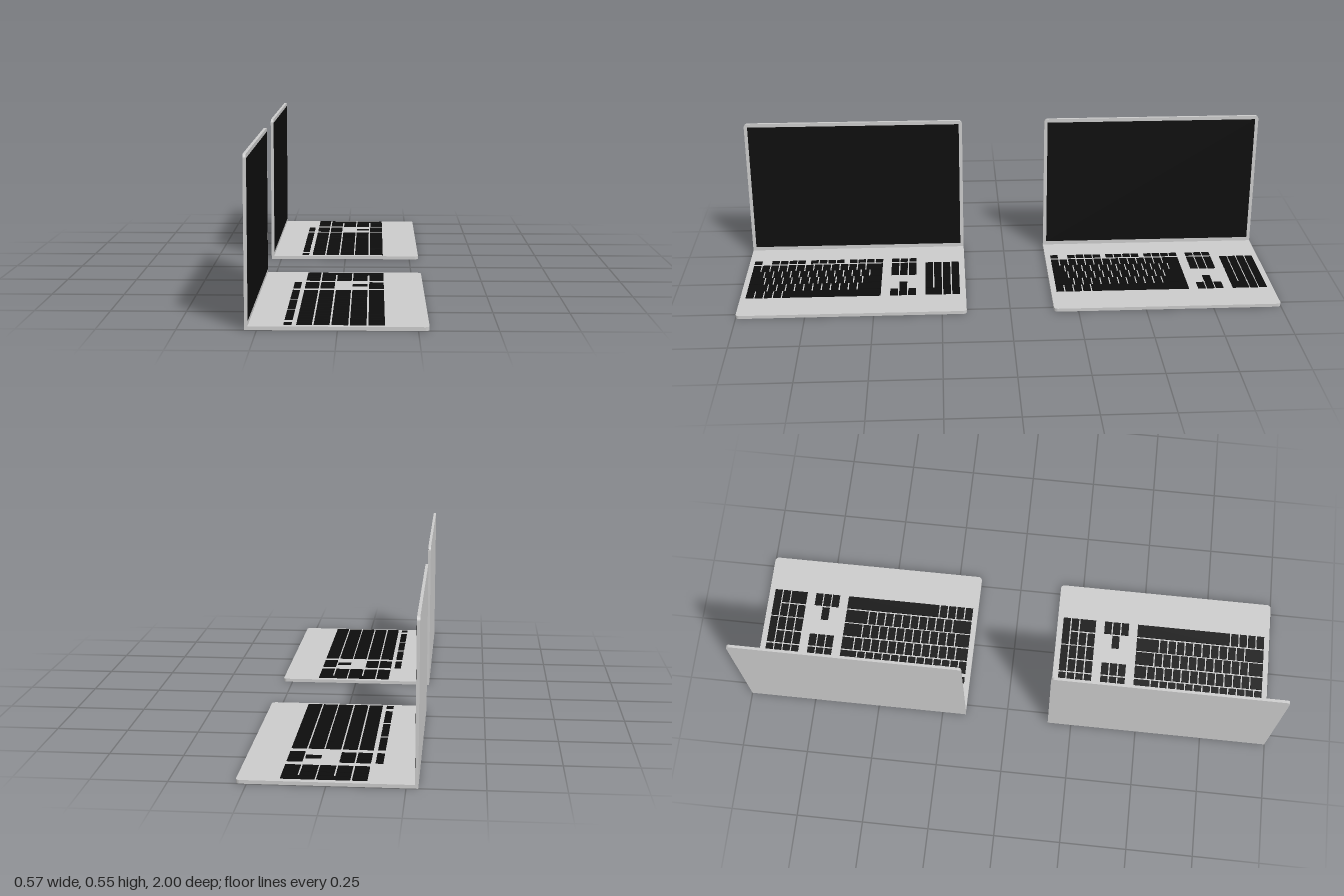
import * as THREE from 'three';
import { mergeGeometries } from 'three/addons/utils/BufferGeometryUtils.js';

const WIDTH = 0.84, THICK = 0.012, LID = 0.01, HINGE = -0.278, UNIT = 0.0337;
const grey = new THREE.MeshStandardMaterial({ color: 0xcccccc });
const black = new THREE.MeshStandardMaterial({ color: 0x0d0d0d });

// Flat panel along +x from the hinge edge, with its two far corners rounded
function panel(length, thick) {
  const r = 0.014, w = WIDTH / 2;
  const s = new THREE.Shape();
  s.moveTo(0, -w);
  s.lineTo(length - r, -w);
  s.absarc(length - r, -w + r, r, -Math.PI / 2, 0);
  s.lineTo(length, w - r);
  s.absarc(length - r, w - r, r, 0, Math.PI / 2);
  s.lineTo(0, w);
  return new THREE.ExtrudeGeometry(s, { depth: thick, bevelEnabled: false, curveSegments: 5 })
    .rotateX(-Math.PI / 2);
}

// Near and far x of each key row, from the function keys to the space bar
const ROWS = [[-0.168, -0.143], [-0.128, -0.08], [-0.074, -0.025],
  [-0.019, 0.033], [0.038, 0.09], [0.096, 0.147]];
const ones = (n) => Array(n).fill(1);

// Key widths in units, left to right; negative numbers are gaps
const LAYOUT = [
  [1, -1, ...ones(4), -0.5, ...ones(4), -0.5, ...ones(4), -0.9, ...ones(3)],
  [...ones(13), 2, -0.9, ...ones(3), -0.9, ...ones(4)],
  [1.5, ...ones(12), 1.5, -0.9, ...ones(3), -0.9, ...ones(3)],
  [1.75, ...ones(11), 2.25, -4.8, ...ones(3)],
  [2.25, ...ones(10), 2.75, -1.9, 1, -1.9, ...ones(3)],
  [...ones(4), 11, -0.9, ...ones(3), -0.9, 2, 1],
];

function keyboard() {
  const keys = [];
  const left = 0.402, gap = 0.005, h = 0.003;
  const addKey = (x0, x1, start, units) => {
    const box = new THREE.BoxGeometry(x1 - x0, h, units * UNIT - gap);
    keys.push(box.translate((x0 + x1) / 2, THICK + h / 2, left - (start + units / 2) * UNIT));
  };
  LAYOUT.forEach((row, i) => {
    let at = 0;
    for (const units of row) {
      if (units > 0) addKey(ROWS[i][0], ROWS[i][1], at, units);
      at += Math.abs(units);
    }
  });
  // Double-height plus and enter keys of the number pad
  addKey(ROWS[2][0], ROWS[3][1], 22.8, 1);
  addKey(ROWS[4][0], ROWS[5][1], 22.8, 1);
  return mergeGeometries(keys);
}

export function createModel() {
  const model = new THREE.Group();
  model.name = 'laptopPair';

  const baseGeo = panel(0.285 - HINGE, THICK);
  const lidGeo = panel(0.547, LID).rotateZ(Math.PI / 2);
  const screenGeo = new THREE.BoxGeometry(0.001, 0.506, 0.814);
  const keyGeo = keyboard();

  for (const side of [1, -1]) {
    const laptop = new THREE.Group();
    laptop.name = side > 0 ? 'leftLaptop' : 'rightLaptop';
    const add = (name, geo, mat, x, y) => {
      const mesh = new THREE.Mesh(geo, mat);
      mesh.name = name;
      mesh.position.set(x, y, 0);
      laptop.add(mesh);
    };
    add('base', baseGeo, grey, HINGE, 0);
    add('lid', lidGeo, grey, HINGE, 0);
    add('screen', screenGeo, black, HINGE + 0.0003, 0.28);
    add('keys', keyGeo, black, 0, 0);
    laptop.position.z = side * 0.58;
    model.add(laptop);
  }
  return model;
}
